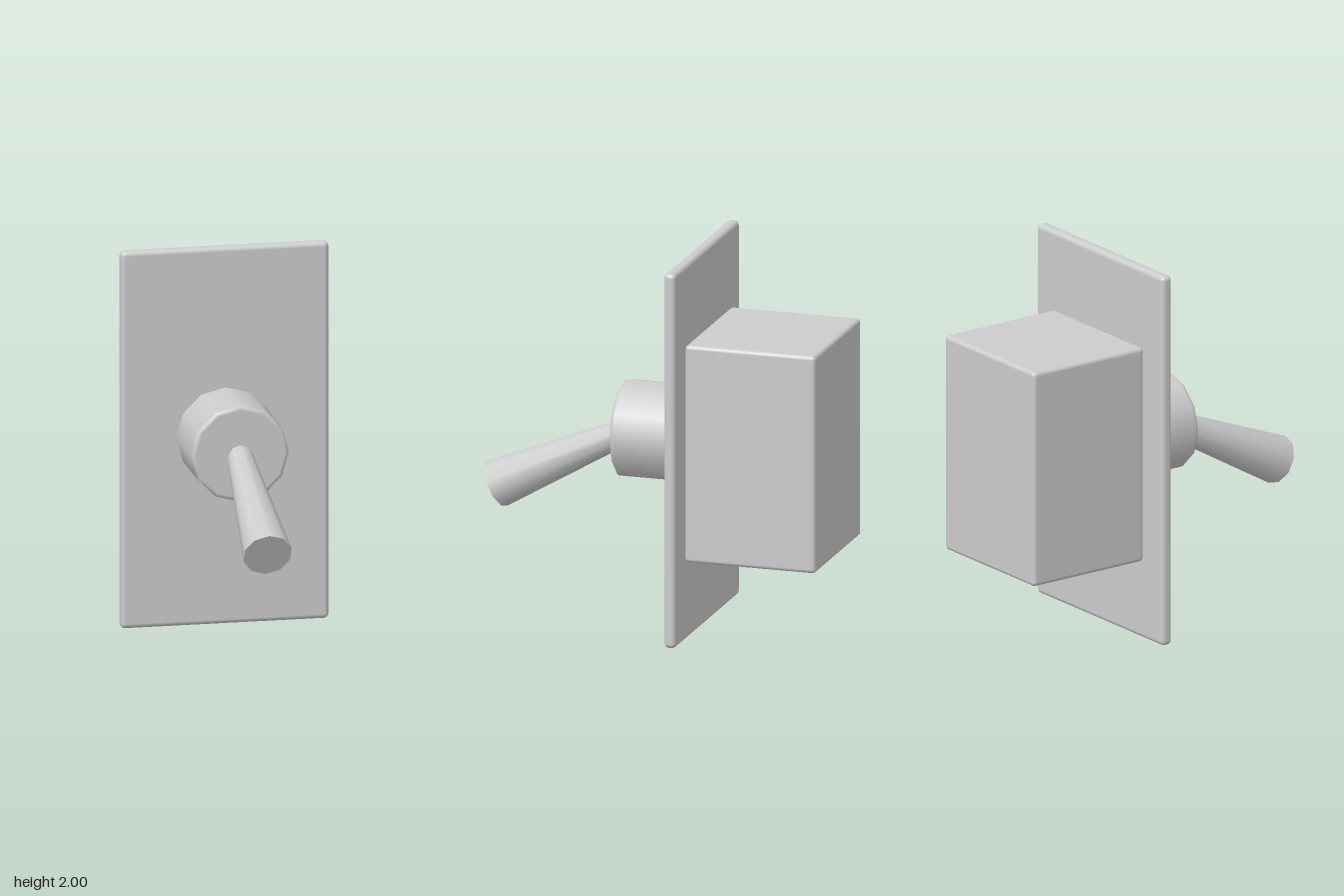
import * as THREE from 'three';
import { RoundedBoxGeometry } from 'three/addons/geometries/RoundedBoxGeometry.js';

export function createModel() {
  const model = new THREE.Group();
  model.name = 'leverSwitch';
  const grey = new THREE.MeshStandardMaterial({ color: 0xcccccc });
  grey.name = 'lightGrey';

  const add = (name, geometry, x, y, z) => {
    const mesh = new THREE.Mesh(geometry, grey);
    mesh.name = name;
    mesh.position.set(x, y, z);
    model.add(mesh);
    return mesh;
  };

  // Wall plate and the housing behind it
  add('wallPlate', new RoundedBoxGeometry(1.09, 2, 0.064, 4, 0.025), 0, 1, -0.21);
  add('rearHousing', new RoundedBoxGeometry(0.772, 1.16, 0.705, 4, 0.022), 0, 1, -0.5945);

  // Twelve-sided collar with a rounded front rim
  const radius = 0.256, depth = 0.41, rim = 0.02;
  const profile = [new THREE.Vector2(radius, 0), new THREE.Vector2(radius, depth - rim - 0.002)];
  for (let i = 0; i <= 4; i++) {
    const a = (i / 4) * Math.PI / 2;
    profile.push(new THREE.Vector2(radius - rim + rim * Math.cos(a), depth - rim + rim * Math.sin(a)));
  }
  profile.push(new THREE.Vector2(radius - rim - 0.002, depth), new THREE.Vector2(0, depth));
  const collar = new THREE.LatheGeometry(profile, 12);
  collar.rotateX(Math.PI / 2);
  add('collar', collar, 0, 1, -0.2);

  // Ten-sided tapered lever, drooping forward out of the collar
  const length = 0.86, droop = THREE.MathUtils.degToRad(26);
  const handle = new THREE.CylinderGeometry(0.128, 0.061, length, 10);
  handle.translate(0, -length / 2, 0); // origin at the free end
  const lever = add('lever', handle, 0, 0.64, 0.895);
  lever.rotation.x = Math.PI / 2 + droop;

  return model;
}
